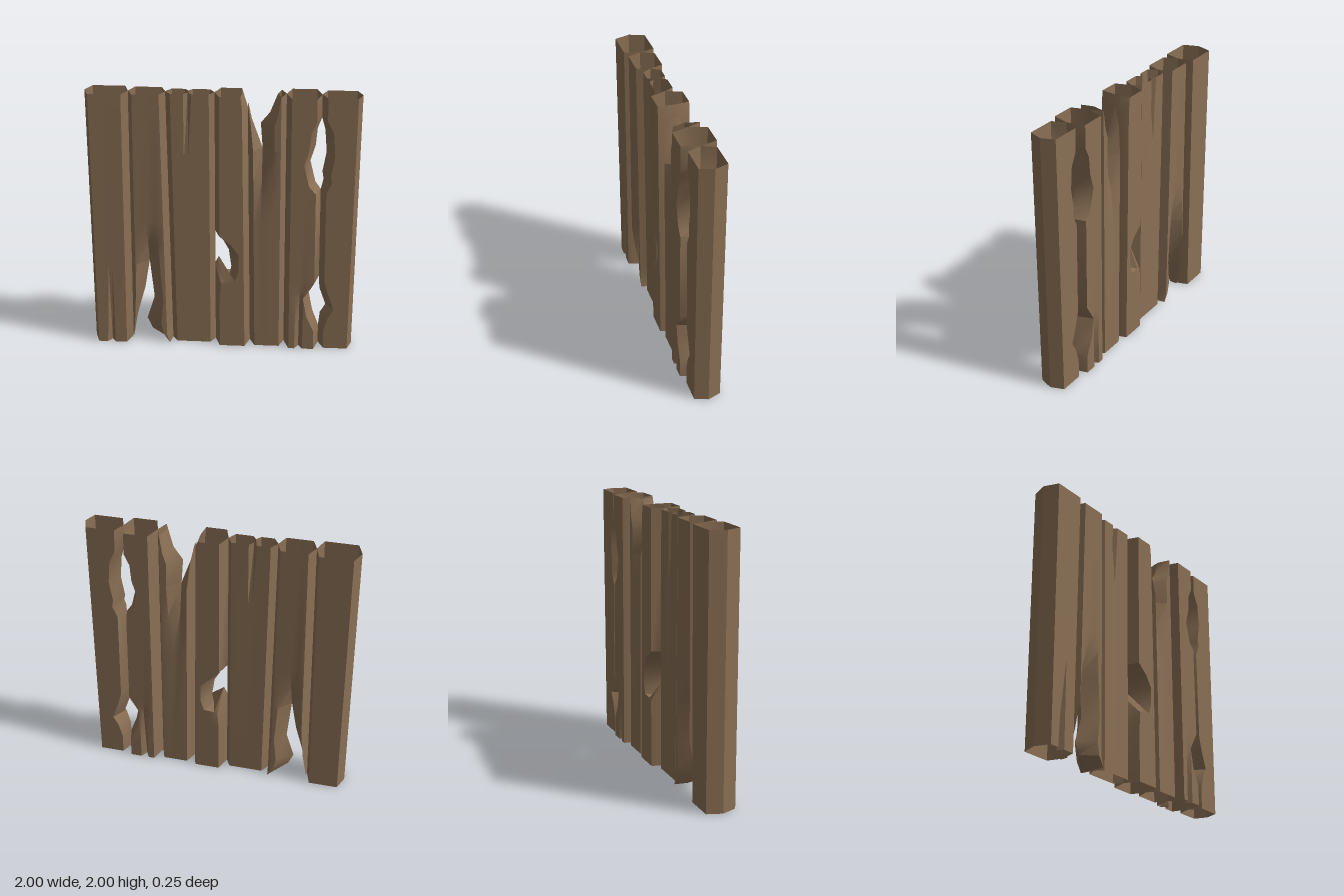
import * as THREE from 'three';
import { toCreasedNormals } from 'three/addons/utils/BufferGeometryUtils.js';

// Seams between neighbouring planks: x at the bottom and at the top
const SEAMS = [[-1, -1], [-0.705, -0.685], [-0.39, -0.415], [-0.055, -0.06],
  [0.212, 0.178], [0.475, 0.457], [0.742, 0.711], [1, 1]];
const seam = (i, y) => THREE.MathUtils.lerp(SEAMS[i][0], SEAMS[i][1], y / 2);

// One horizontal cross-section: pointed sides, flat front and back, optional V dent.
// l, r: side tips; cl, cr: bevel widths; d: half depth; lift: raises the left tip;
// g, gb: front and back dent depth at gx, with half width gw
function section(i, depth, s) {
  const { y, l = seam(i, y), r = seam(i + 1, y), d = depth, lift = 0, g = 0, gw = 0.03 } = s;
  const { gb = g } = s;
  const w = Math.max(r - l, 0.004);
  const a = l + Math.min(s.cl ?? 0.04, w * 0.7);
  const b = Math.max(l + w - Math.min(s.cr ?? 0.036, w * 0.7), a);
  const gx = THREE.MathUtils.clamp(s.gx ?? (a + b) / 2, a, b);
  const g0 = Math.max(a, gx - gw), g1 = Math.min(b, gx + gw);
  return [
    [l, y + lift, 0],
    [a, y, d], [g0, y, d], [gx, y, d - g], [g1, y, d], [b, y, d],
    [l + w, y, 0],
    [b, y, -d], [g1, y, -d], [gx, y, gb - d], [g0, y, -d], [a, y, -d],
  ];
}

// Open hollow board lofted through sections listed from bottom to top
function board(i, depth, stations) {
  const rings = stations.map((s) => section(i, depth, s));
  const n = rings[0].length;
  const index = [];
  for (let k = 0; k < rings.length - 1; k++) {
    for (let j = 0; j < n; j++) {
      const a = k * n + j, b = k * n + (j + 1) % n;
      index.push(a, b, b + n, a, b + n, a + n);
    }
  }
  const geo = new THREE.BufferGeometry();
  geo.setAttribute('position', new THREE.Float32BufferAttribute(rings.flat(2), 3));
  geo.setIndex(index);
  return toCreasedNormals(geo, 0.65);
}

export function createModel() {
  const group = new THREE.Group();
  group.name = 'plankWall';
  const wood = new THREE.MeshStandardMaterial({ color: 0x8b7055, side: THREE.DoubleSide });
  wood.name = 'weathered wood';
  const add = (name, i, depth, stations) => {
    const mesh = new THREE.Mesh(board(i, depth, stations), wood);
    mesh.name = name;
    group.add(mesh);
  };

  // Plank 1: whole, with a crack rising from the bottom
  add('plankOne', 0, 0.115, [
    { y: 0, gx: -0.86, g: 0.045, gb: 0 }, { y: 0.65, gx: -0.86 }, { y: 2 },
  ]);

  // Plank 2: split from the bottom into two prongs
  add('plankTwo', 1, 0.1, [
    { y: 0.66, gx: -0.56, g: 0.1, gw: 0.09 },
    { y: 0.84, gx: -0.56, g: 0.035, gw: 0.08 },
    { y: 1.02, gx: -0.56, gw: 0.06 },
    { y: 2 },
  ]);
  add('plankTwoLeftProng', 1, 0.1, [
    { y: 0, r: -0.7, d: 0.03 },
    { y: 0.2, r: -0.665, d: 0.07 },
    { y: 0.43, r: -0.6, cr: 0.06 },
    { y: 0.66, r: -0.56, cr: 0.09 },
  ]);
  add('plankTwoRightProng', 1, 0.1, [
    { y: 0, l: -0.42, cl: 0.015 },
    { y: 0.07, l: -0.55, cl: 0.1 },
    { y: 0.16, l: -0.59, cl: 0.12 },
    { y: 0.35, l: -0.53, cl: 0.08 },
    { y: 0.66, l: -0.56, cl: 0.09 },
  ]);

  // Plank 3: thin, cracked at the top
  add('plankThree', 2, 0.067, [
    { y: 0 }, { y: 1.5, gx: -0.25 }, { y: 2, gx: -0.25, g: 0.04 },
  ]);

  // Plank 4: chipped on the left edge and at the top right corner
  add('plankFour', 3, 0.115, [
    { y: 0 },
    { y: 0.4 },
    { y: 0.53, lift: 0.13, cl: 0.05 },
    { y: 0.545, l: -0.03, lift: 0.165, cl: 0.05 },
    { y: 0.55, l: 0.05, cl: 0.05 },
    { y: 0.63, l: 0.065, cl: 0.06 },
    { y: 0.77, l: 0.045, cl: 0.08 },
    { y: 0.85, l: 0, cl: 0.07 },
    { y: 0.92 },
    { y: 1.9 },
    { y: 2, r: 0.142, cr: 0.01 },
  ]);

  // Plank 5: split from the top into two prongs
  add('plankFive', 4, 0.095, [
    { y: 0 },
    { y: 1, gx: 0.29, gw: 0.05 },
    { y: 1.35, gx: 0.29, g: 0.04, gw: 0.08 },
    { y: 1.59, gx: 0.29, g: 0.095, gw: 0.09 },
  ]);
  add('plankFiveLeftProng', 4, 0.095, [
    { y: 1.59, r: 0.29, cr: 0.08 },
    { y: 1.8, r: 0.212, d: 0.07 },
    { y: 1.92, r: 0.184, d: 0.03 },
  ]);
  add('plankFiveRightProng', 4, 0.095, [
    { y: 1.59, l: 0.29, cl: 0.09 },
    { y: 1.78, l: 0.275, cl: 0.1 },
    { y: 1.86, l: 0.34, cl: 0.06 },
    { y: 2, l: 0.395, cl: 0.025 },
  ]);

  // Planks 6 and 7: two chips along their shared edge, as [y, edge x]
  const chips = (pairs, side, bevel) => pairs.map(([y, x]) =>
    (x === null ? { y } : { y, [side]: x, ['c' + side]: bevel }));
  add('plankSix', 5, 0.125, [
    { y: 0, gx: 0.59, g: 0.055 },
    ...chips([[0.15, null], [0.28, 0.69], [0.43, 0.66], [0.48, 0.69], [0.57, null],
      [1.28, null], [1.34, 0.68], [1.5, 0.64], [1.62, 0.675], [1.75, 0.685], [1.83, null]], 'r', 0.045)
      .map((s) => ({ ...s, gx: 0.59, g: Math.max(0, 0.055 * (1 - s.y / 0.57)) })),
    { y: 2 },
  ]);
  add('plankSeven', 6, 0.1, [
    { y: 0 },
    ...chips([[0.15, null], [0.26, 0.75], [0.33, 0.79], [0.47, 0.74], [0.57, null],
      [1.28, null], [1.36, 0.74], [1.42, 0.73], [1.57, 0.755], [1.74, 0.74], [1.83, null]], 'l', 0.06),
    { y: 2 },
  ]);

  return group;
}
